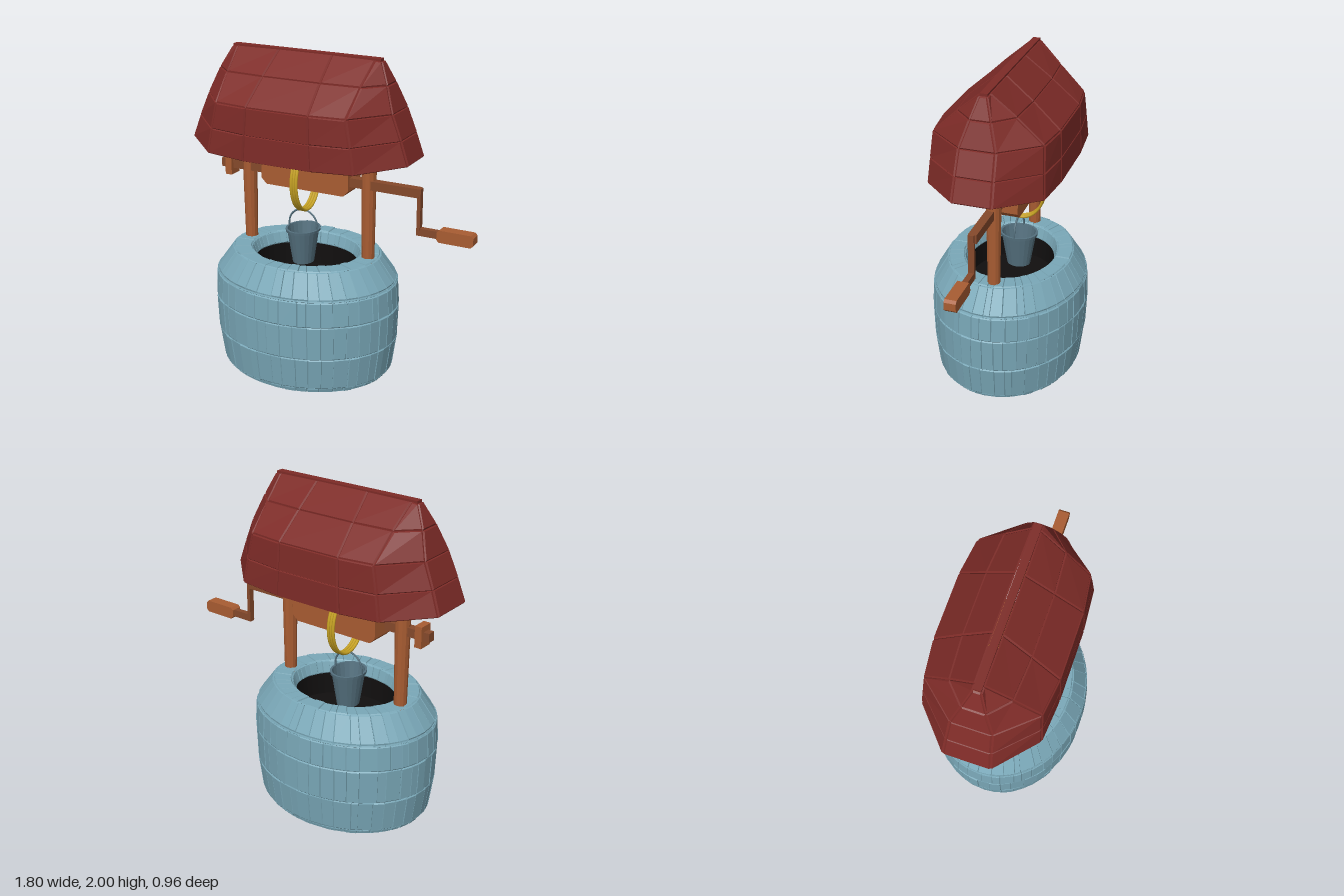
import * as THREE from 'three';

const mat = (color, side = THREE.FrontSide, flatShading = true) => {
  const m = new THREE.MeshStandardMaterial({ side, flatShading });
  m.color.set(color);
  return m;
};
const V = (x, y, z) => new THREE.Vector3(x, y, z);

// One bevelled tile on a four-cornered patch, raised along its normal
function tile(out, corners, raise, gap) {
  const [a, b, c, d] = corners;
  const n = c.clone().sub(a).cross(d.clone().sub(b)).normalize();
  const mid = V(0, 0, 0);
  corners.forEach(p => mid.addScaledVector(p, 0.25));
  const top = corners.map(p => {
    const toMid = mid.clone().sub(p);
    const step = Math.min(gap, toMid.length() * 0.4);
    return p.clone().addScaledVector(toMid.normalize(), step).addScaledVector(n, raise);
  });
  const quad = (p, q, r, s) => [p, q, r, p, r, s].forEach(v => out.push(v.x, v.y, v.z));
  quad(...top);
  for (let i = 0; i < 4; i++) {
    const j = (i + 1) % 4;
    quad(corners[i], corners[j], top[j], top[i]);
  }
}

// A course of tiles between two closed rings of points
function course(out, lower, upper, raise, gap) {
  lower.forEach((p, i) => {
    const j = (i + 1) % lower.length;
    tile(out, [lower[j], p, upper[i], upper[j]], raise(i), gap);
  });
}

function tiledMesh(name, positions, material) {
  const g = new THREE.BufferGeometry();
  g.setAttribute('position', new THREE.Float32BufferAttribute(positions, 3));
  g.computeVertexNormals();
  const m = new THREE.Mesh(g, material);
  m.name = name;
  return m;
}

export function createModel() {
  const model = new THREE.Group();
  model.name = 'wishingWell';
  const stone = mat(0x7aa8b8, THREE.DoubleSide);
  const wood = mat(0xa85c32);
  const darkWood = mat(0x85492b);
  const red = mat(0x7d2b27, THREE.DoubleSide);
  const metal = mat(0x55717f, THREE.DoubleSide, false);

  const add = (name, geometry, material, x, y, z, parent = model) => {
    const m = new THREE.Mesh(geometry, material);
    m.name = name;
    m.position.set(x, y, z);
    parent.add(m);
    return m;
  };
  const box = (name, w, h, d, material, x, y, z) =>
    add(name, new THREE.BoxGeometry(w, h, d), material, x, y, z);
  // Block with chamfered ends
  const chamfered = (name, w, h, d, c, material, x, y, z) => {
    const s = new THREE.Shape([
      [-w / 2 + c, -h / 2], [w / 2 - c, -h / 2], [w / 2, -h / 2 + c], [w / 2, h / 2 - c],
      [w / 2 - c, h / 2], [-w / 2 + c, h / 2], [-w / 2, h / 2 - c], [-w / 2, -h / 2 + c],
    ].map(p => new THREE.Vector2(...p)));
    const g = new THREE.ExtrudeGeometry(s, { depth: d, bevelEnabled: false });
    g.translate(0, 0, -d / 2);
    return add(name, g, material, x, y, z);
  };

  // Oval stone wall: courses of slightly uneven stones
  const well = new THREE.Group();
  well.name = 'stoneWell';
  well.position.x = -0.195;
  well.scale.z = 0.807;
  model.add(well);
  let seed = 7;
  const rand = () => (seed = (seed * 16807) % 2147483647) / 2147483647;
  const profile = [[0.52, 0], [0.53, 0.03], [0.55, 0.035], [0.58, 0.24], [0.589, 0.455],
    [0.58, 0.612], [0.575, 0.622], [0.47, 0.765], [0.355, 0.765], [0.33, 0.69]];
  const stones = [];
  for (let k = 0; k < profile.length - 1; k++) {
    const count = 44;
    const angles = Array.from({ length: count }, (_, i) =>
      (i + (rand() - 0.5) * 0.5) / count * Math.PI * 2);
    const ring = ([r, y]) => angles.map(t => V(r * Math.cos(t), y, r * Math.sin(t)));
    course(stones, ring(profile[k]), ring(profile[k + 1]), () => 0.003 + rand() * 0.006, 0.007);
  }
  well.add(tiledMesh('stoneWall', stones, stone));
  add('wellFloor', new THREE.CircleGeometry(0.525, 44).rotateX(Math.PI / 2), stone, 0, 0.001, 0, well);
  add('darkShaft', new THREE.LatheGeometry(
    [[0.332, 0.7], [0.33, 0.55], [0, 0.55]].map(p => new THREE.Vector2(...p)), 44),
  mat(0x110f0f, THREE.DoubleSide), 0, 0, 0, well);

  // Posts on the rim
  for (const [name, x] of [['rightPost', -0.605], ['leftPost', 0.215]])
    add(name, new THREE.CylinderGeometry(0.049, 0.038, 0.8, 12), wood, x, 1.14, -0.025);

  // Hipped roof: front half of each ring as [x, y, z], mirrored to the back
  const rings = [
    [[0.52, 1.425, 0.115], [0.29, 1.405, 0.345], [0.03, 1.395, 0.365],
      [-0.41, 1.395, 0.365], [-0.66, 1.405, 0.345], [-0.9, 1.425, 0.135]],
    [[0.472, 1.565, 0.11], [0.265, 1.555, 0.335], [0.02, 1.55, 0.36],
      [-0.4, 1.55, 0.36], [-0.635, 1.555, 0.335], [-0.85, 1.565, 0.125]],
    [[0.415, 1.71, 0.105], [0.235, 1.71, 0.325], [0.015, 1.71, 0.352],
      [-0.39, 1.71, 0.352], [-0.605, 1.71, 0.325], [-0.79, 1.71, 0.115]],
    [[0.36, 1.86, 0.06], [0.25, 1.86, 0.17], [0.005, 1.86, 0.187],
      [-0.37, 1.86, 0.187], [-0.62, 1.86, 0.17], [-0.735, 1.86, 0.065]],
    [[0.305, 1.985, 0.02], [0.27, 1.988, 0.022], [0, 1.992, 0.025],
      [-0.35, 1.992, 0.025], [-0.635, 1.988, 0.022], [-0.67, 1.985, 0.02]],
  ].map(half => [
    ...half.map(([x, y, z]) => V(x, y, z)),
    ...half.slice().reverse().map(([x, y, z]) => V(x, y, -z)),
  ]);
  const shingles = [];
  for (let k = 0; k < rings.length - 1; k++) course(shingles, rings[k], rings[k + 1], () => 0.007, 0.01);
  model.add(tiledMesh('roof', shingles, red));
  box('roofRidge', 0.97, 0.02, 0.045, red, -0.183, 1.99, 0);

  // Windlass: axle, drum, end peg and crank
  box('axle', 1.34, 0.055, 0.05, darkWood, -0.12, 1.238, -0.015);
  chamfered('drum', 0.595, 0.2, 0.165, 0.035, wood, -0.193, 1.25, -0.052);
  box('axlePeg', 0.045, 0.13, 0.09, wood, -0.73, 1.235, -0.015);
  box('crankArm', 0.022, 0.28, 0.036, darkWood, 0.55, 1.125, -0.01);
  box('crankBar', 0.14, 0.045, 0.034, darkWood, 0.609, 1.003, -0.01);
  chamfered('crankHandle', 0.225, 0.075, 0.07, 0.015, wood, 0.785, 1.005, -0.01);

  // Rope coils hanging from the drum
  const gold = mat(0xc9a424, THREE.FrontSide, false);
  for (let i = -1; i <= 1; i++) {
    const coil = add('ropeCoil', new THREE.TorusGeometry(0.19, 0.01, 6, 40).rotateY(Math.PI / 2),
      gold, -0.227 + i * 0.017, 1.19, -0.05);
    coil.scale.z = 0.78;
  }

  // Bucket with rim, open top and wire handle
  const bucket = new THREE.Group();
  bucket.name = 'bucket';
  bucket.position.set(-0.237, 0.66, -0.035);
  model.add(bucket);
  const shell = add('bucketShell', new THREE.LatheGeometry([
    [0, 0], [0.065, 0], [0.096, 0.205], [0.104, 0.205], [0.106, 0.222], [0.094, 0.222], [0.06, 0.015], [0, 0.015],
  ].map(p => new THREE.Vector2(...p)), 20), mat(0x55717f, THREE.DoubleSide), 0, 0, 0, bucket);
  shell.scale.z = 1.14;
  add('bucketHandle', new THREE.TorusGeometry(0.098, 0.006, 6, 24, Math.PI), metal, 0, 0.24, 0, bucket);
  for (const s of [-1, 1])
    add('handleEnd', new THREE.CylinderGeometry(0.006, 0.006, 0.04, 6), metal, s * 0.098, 0.222, 0, bucket);

  return model;
}
